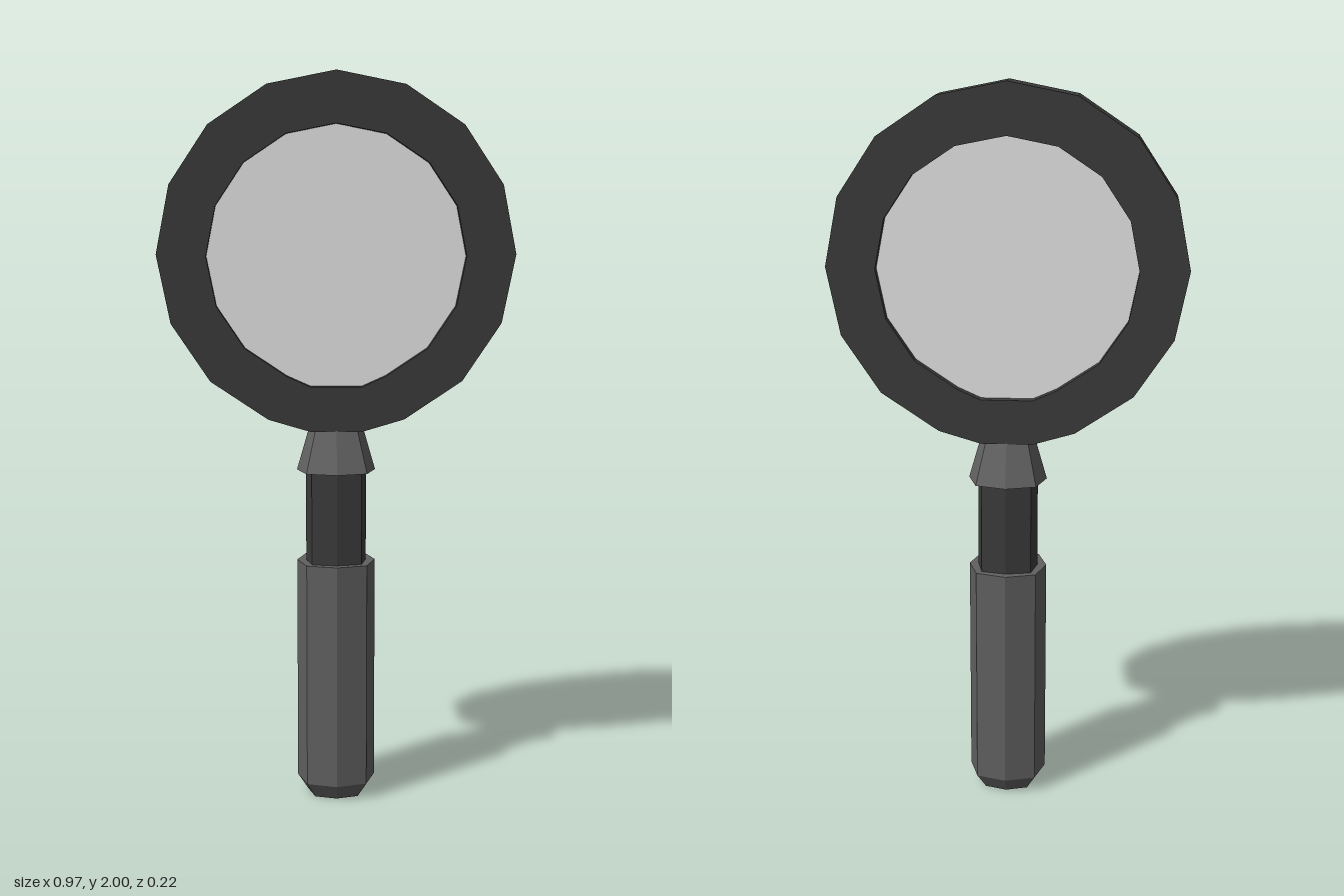
import * as THREE from 'three';
import { toCreasedNormals } from 'three/addons/utils/BufferGeometryUtils.js';

// 16-sided outline whose lowest corner is cut into a short flat edge
function outline(radius, centreY, flatY, PathType) {
  const points = [];
  for (let i = 0; i < 16; i++) {
    const a = (i / 16) * Math.PI * 2;
    if (i === 8) {
      points.push(new THREE.Vector2(-0.07, flatY), new THREE.Vector2(0.07, flatY));
    } else {
      points.push(new THREE.Vector2(-Math.sin(a) * radius, centreY + Math.cos(a) * radius));
    }
  }
  return new PathType(points);
}

// Flat slab centred on z = 0
function slab(shape, depth) {
  const g = new THREE.ExtrudeGeometry(shape, { depth, bevelEnabled: false });
  g.translate(0, 0, -depth / 2);
  return toCreasedNormals(g, 0.2);
}

// Eight-sided turned part from [radius, y] pairs, bottom to top;
// diagonal moves the four diagonal corners outwards, topDepth flattens the top end along z
function turned(profile, diagonal, topDepth = 1) {
  const points = profile.map(([r, y]) => new THREE.Vector2(r, y));
  const topY = profile[profile.length - 1][1];
  const g = new THREE.LatheGeometry(points, 8);
  const p = g.attributes.position;
  for (let i = 0; i < p.count; i++) {
    const x = p.getX(i), y = p.getY(i), z = p.getZ(i);
    const k = Math.abs(x) > 0.01 && Math.abs(z) > 0.01 ? diagonal : 1;
    const d = topY - y < 0.001 ? topDepth : 1;
    p.setXYZ(i, x * k, y, z * k * d);
  }
  return toCreasedNormals(g, 0.2);
}

export function createModel() {
  const model = new THREE.Group();
  const material = (name, color) => {
    const m = new THREE.MeshStandardMaterial({ color });
    m.name = name;
    return m;
  };
  const dark = material('dark grey', 0x3b3b3b);
  const grey = material('mid grey', 0x606060);
  const glass = material('pale glass', 0xe5e5e5);

  const add = (name, geometry, mat) => {
    const mesh = new THREE.Mesh(geometry, mat);
    mesh.name = name;
    model.add(mesh);
  };

  // Ring and lens
  const ring = outline(0.483, 1.517, 1.037, THREE.Shape);
  ring.holes.push(outline(0.35, 1.512, 1.16, THREE.Path));
  add('ring', slab(ring, 0.11), dark);
  add('lens', slab(outline(0.35, 1.512, 1.16, THREE.Shape), 0.06), glass);

  // Handle, from top to bottom
  add('collar', turned([[0, 0.925], [0.108, 0.925], [0.075, 1.04], [0, 1.04]], 1.08, 0.73), grey);
  add('neck', turned([[0, 0.66], [0.083, 0.66], [0.083, 0.935], [0, 0.935]], 1.16), dark);
  add('grip', turned([[0, 0], [0.078, 0], [0.108, 0.045], [0.108, 0.67], [0, 0.67]], 1.08), grey);

  return model;
}
